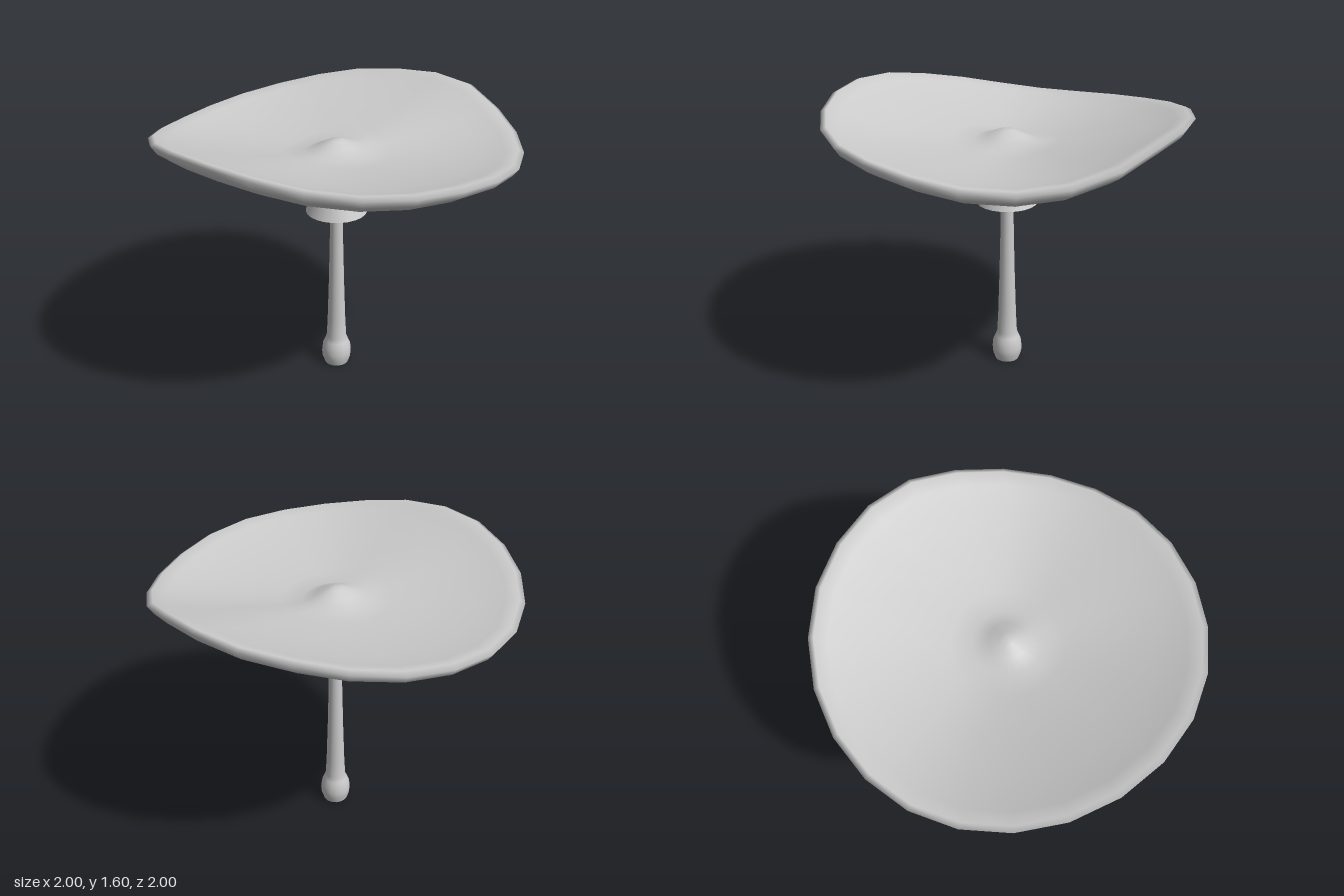
import * as THREE from 'three';
import { mergeVertices } from 'three/addons/utils/BufferGeometryUtils.js';

const material = new THREE.MeshStandardMaterial({ color: 0xcccccc, side: THREE.DoubleSide });

// Revolve a profile of [radius, height] pairs, bottom to top
function lathe(profile, sides) {
  return new THREE.LatheGeometry(profile.map(([r, y]) => new THREE.Vector2(r, y)), sides);
}

function addPart(group, name, geometry) {
  const mesh = new THREE.Mesh(geometry, material);
  mesh.name = name;
  group.add(mesh);
}

// Rim heights every 15 degrees, from +z round through +x
const RIM = [
  1.45, 1.42, 1.41, 1.43, 1.48, 1.55, 1.565, 1.55, 1.53, 1.49, 1.45, 1.42,
  1.40, 1.40, 1.43, 1.48, 1.53, 1.575, 1.59, 1.575, 1.54, 1.51, 1.49, 1.475,
];
const MEAN_RIM = 1.49;

// Dished cap whose rim waves up and down, the warp fading toward the centre
function capGeometry() {
  const geometry = lathe([
    [0.07, 1.27], [0.16, 1.325], [0.4, 1.345], [0.6, 1.36], [0.8, 1.375], [0.9, 1.4],
    [0.97, 1.445], [1, 1.49], [0.97, 1.505], [0.9, 1.485], [0.75, 1.44], [0.5, 1.395],
    [0.3, 1.372], [0.18, 1.367], [0.1, 1.4], [0.04, 1.427], [0, 1.432],
  ], RIM.length);
  const p = geometry.attributes.position;
  for (let i = 0; i < p.count; i++) {
    const x = p.getX(i), z = p.getZ(i);
    const step = Math.round(Math.atan2(x, z) / (2 * Math.PI) * RIM.length);
    const rim = RIM[(step + RIM.length) % RIM.length];
    p.setY(i, p.getY(i) + (rim - MEAN_RIM) * Math.hypot(x, z) ** 1.3);
  }
  // Weld the seam so the shading is continuous
  geometry.deleteAttribute('uv');
  geometry.deleteAttribute('normal');
  const welded = mergeVertices(geometry, 1e-4);
  welded.computeVertexNormals();
  return welded;
}

export function createModel() {
  const group = new THREE.Group();
  group.name = 'mushroom';

  addPart(group, 'cap', capGeometry());

  // Open conical ring hanging under the cap
  addPart(group, 'skirt', lathe([[0.173, 1.01], [0.07, 1.27]], 24));

  // Tapering stem with a bulb at its foot, open underneath
  addPart(group, 'stem', lathe([
    [0.071, 0], [0.085, 0.04], [0.088, 0.075], [0.083, 0.12], [0.07, 0.15],
    [0.059, 0.18], [0.053, 0.3], [0.045, 0.55], [0.039, 0.8], [0.036, 1.0], [0.036, 1.3],
  ], 16));

  return group;
}
